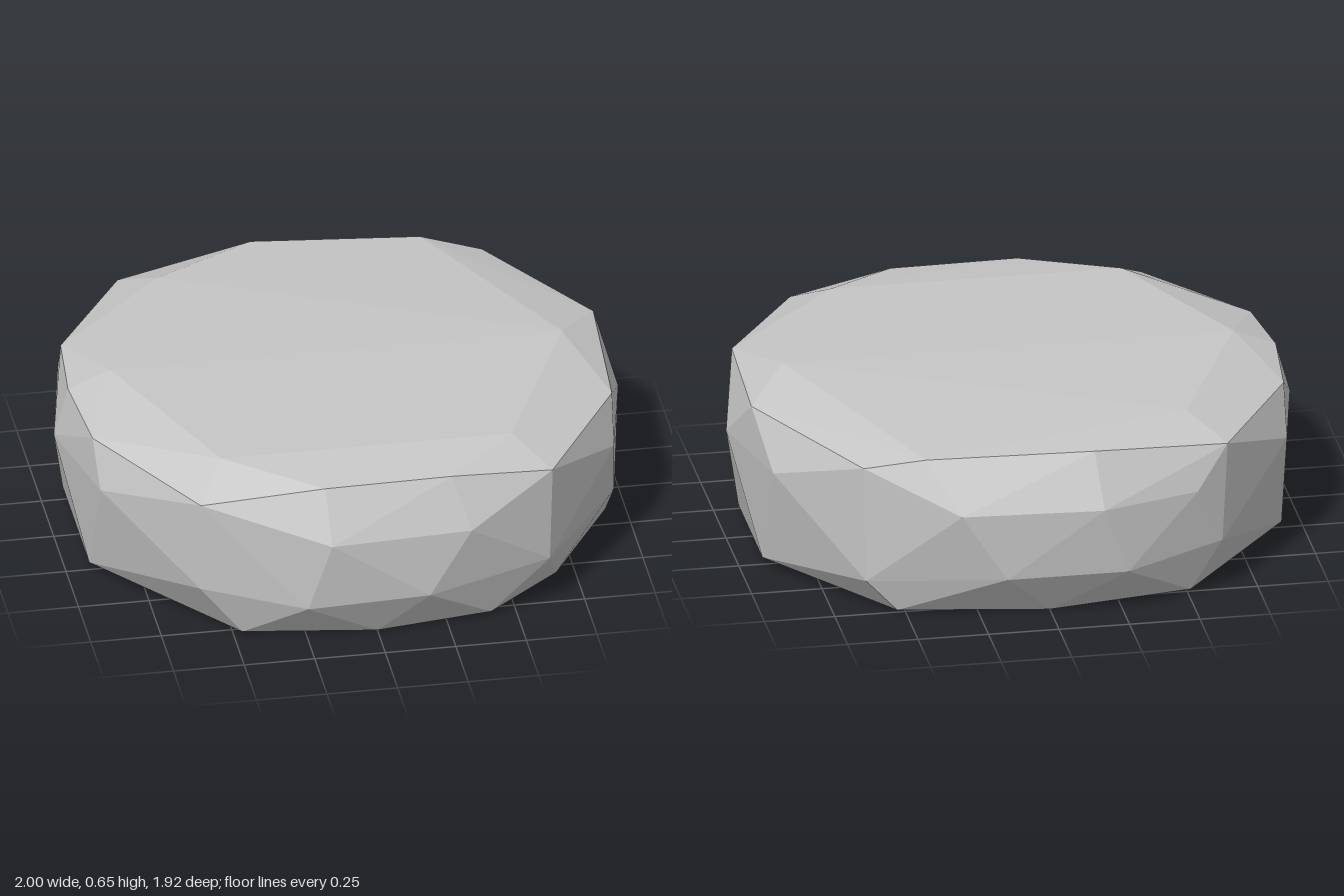
import * as THREE from 'three';
import { ConvexGeometry } from 'three/addons/geometries/ConvexGeometry.js';

// Corner rings of the stone, each corner [x, y, z]
const base = [
  [0.92, 0.035, 0.2], [0.68, 0.015, 0.575], [0.41, 0.012, 0.8], [0, 0, 0.84],
  [-0.47, 0.012, 0.79], [-0.92, 0.035, 0.26], [-0.92, 0.035, -0.28],
  [-0.51, 0.012, -0.76], [0, 0, -0.82], [0.53, 0.012, -0.76], [0.92, 0.035, -0.27],
];
const lower = [
  [0.928, 0.19, 0.33], [0.62, 0.2, 0.79], [0.17, 0.18, 0.94], [-0.26, 0.16, 0.93],
  [-0.62, 0.2, 0.79], [-0.62, 0.2, -0.78],
  [-0.26, 0.17, -0.93], [0.17, 0.17, -0.93], [0.64, 0.13, -0.76],
];
const waist = [
  [1, 0.41, 0], [0.91, 0.42, 0.43], [0.32, 0.42, 0.93], [-0.18, 0.42, 0.96],
  [-0.91, 0.42, 0.43], [-1, 0.41, 0], [-0.91, 0.42, -0.44], [-0.52, 0.42, -0.85],
  [-0.17, 0.42, -0.96], [0.33, 0.42, -0.93], [0.91, 0.42, -0.43],
];
const shoulder = [
  [0.92, 0.575, 0.33], [0.63, 0.555, 0.79], [0.26, 0.605, 0.86], [-0.19, 0.605, 0.87],
  [-0.62, 0.545, 0.81], [-0.92, 0.575, 0.33], [-0.95, 0.59, 0], [-0.92, 0.58, -0.32],
  [-0.64, 0.56, -0.77], [-0.15, 0.61, -0.87], [0.44, 0.6, -0.82], [0.65, 0.56, -0.765],
  [0.95, 0.59, -0.22],
];
const crown = [
  [0.8, 0.65, 0], [0.51, 0.635, 0.65], [-0.52, 0.635, 0.65],
  [-0.8, 0.65, 0], [-0.52, 0.637, -0.63],
];

export function createModel() {
  const group = new THREE.Group();
  group.name = 'stone';

  const stoneGrey = new THREE.MeshStandardMaterial({ color: 0xc6c6c6 });
  stoneGrey.name = 'stone grey';

  // Faceted pebble stretched over the rings, one flat normal per face
  const corners = [base, lower, waist, shoulder, crown]
    .flat()
    .map(([x, y, z]) => new THREE.Vector3(x, y, z));
  const stone = new THREE.Mesh(new ConvexGeometry(corners), stoneGrey);
  stone.name = 'facetedStone';
  group.add(stone);
  return group;
}
